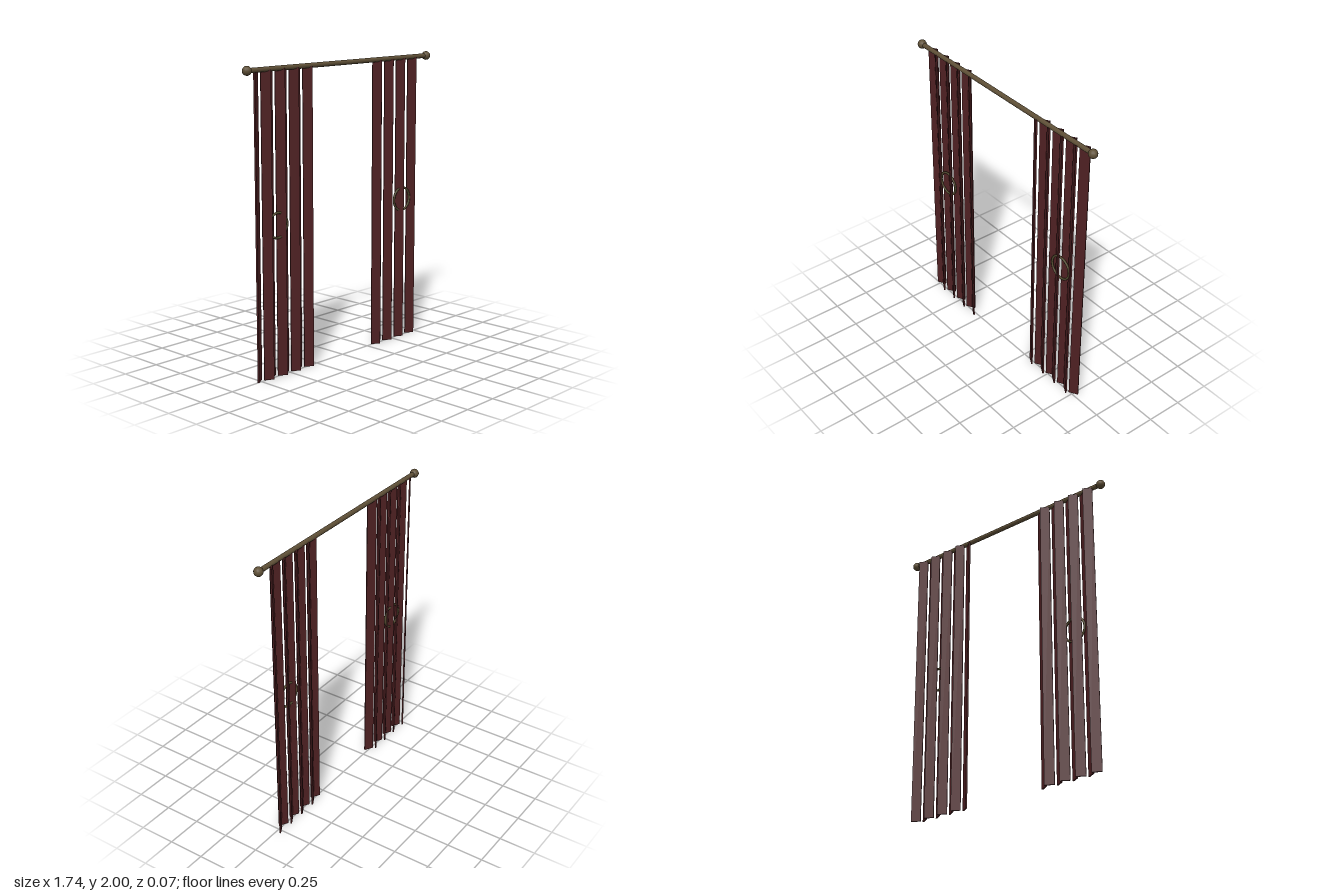
import * as THREE from 'three';

const fabric = new THREE.MeshStandardMaterial({ color: 0x4e2022 });
fabric.name = 'dark red fabric';
const bronze = new THREE.MeshStandardMaterial({ color: 0x5f5037 });
bronze.name = 'aged bronze';
const ringMetal = new THREE.MeshStandardMaterial({ color: 0x52492f });
ringMetal.name = 'dark ring metal';

const TOP = 1.968;
const PITCH = 0.06;
const ROD_Y = 1.97;
const ROD_Z = 0.007;

function add(parent, name, geometry, material, x, y, z) {
  const mesh = new THREE.Mesh(geometry, material);
  mesh.name = name;
  mesh.position.set(x, y, z);
  parent.add(mesh);
  return mesh;
}

// Eight upright slats, turned alternately to form pleats
function curtain(name, startX, firstIsBack) {
  const group = new THREE.Group();
  group.name = name;
  const slat = new THREE.BoxGeometry(0.065, TOP, 0.01);
  for (let i = 0; i < 8; i++) {
    const back = (i % 2 === 0) === firstIsBack;
    const pleat = add(group, back ? 'backPleat' : 'frontPleat', slat, fabric,
      startX + PITCH * (i + 0.5), TOP / 2, back ? -0.016 : 0.007);
    pleat.rotation.y = (back ? 1 : -1) * Math.PI / 6;
  }
  return group;
}

export function createModel() {
  const model = new THREE.Group();
  model.name = 'curtains';

  // Rod
  const rodGeometry = new THREE.CylinderGeometry(0.016, 0.016, 1.68, 12);
  rodGeometry.rotateZ(Math.PI / 2);
  add(model, 'rod', rodGeometry, bronze, 0, ROD_Y, ROD_Z);

  // Curtains
  model.add(curtain('rightCurtain', -0.78, true));
  model.add(curtain('leftCurtain', 0.3, false));

  // Finials and tie rings on both sides
  const finial = new THREE.SphereGeometry(0.03, 12, 10);
  const ring = new THREE.TorusGeometry(0.081, 0.008, 8, 24);
  for (const side of [-1, 1]) {
    const label = side > 0 ? 'left' : 'right';
    add(model, label + 'Finial', finial, bronze, side * 0.842, ROD_Y, ROD_Z);
    add(model, label + 'TieRing', ring, ringMetal, side * 0.597, 0.99, 0.005);
  }
  return model;
}
